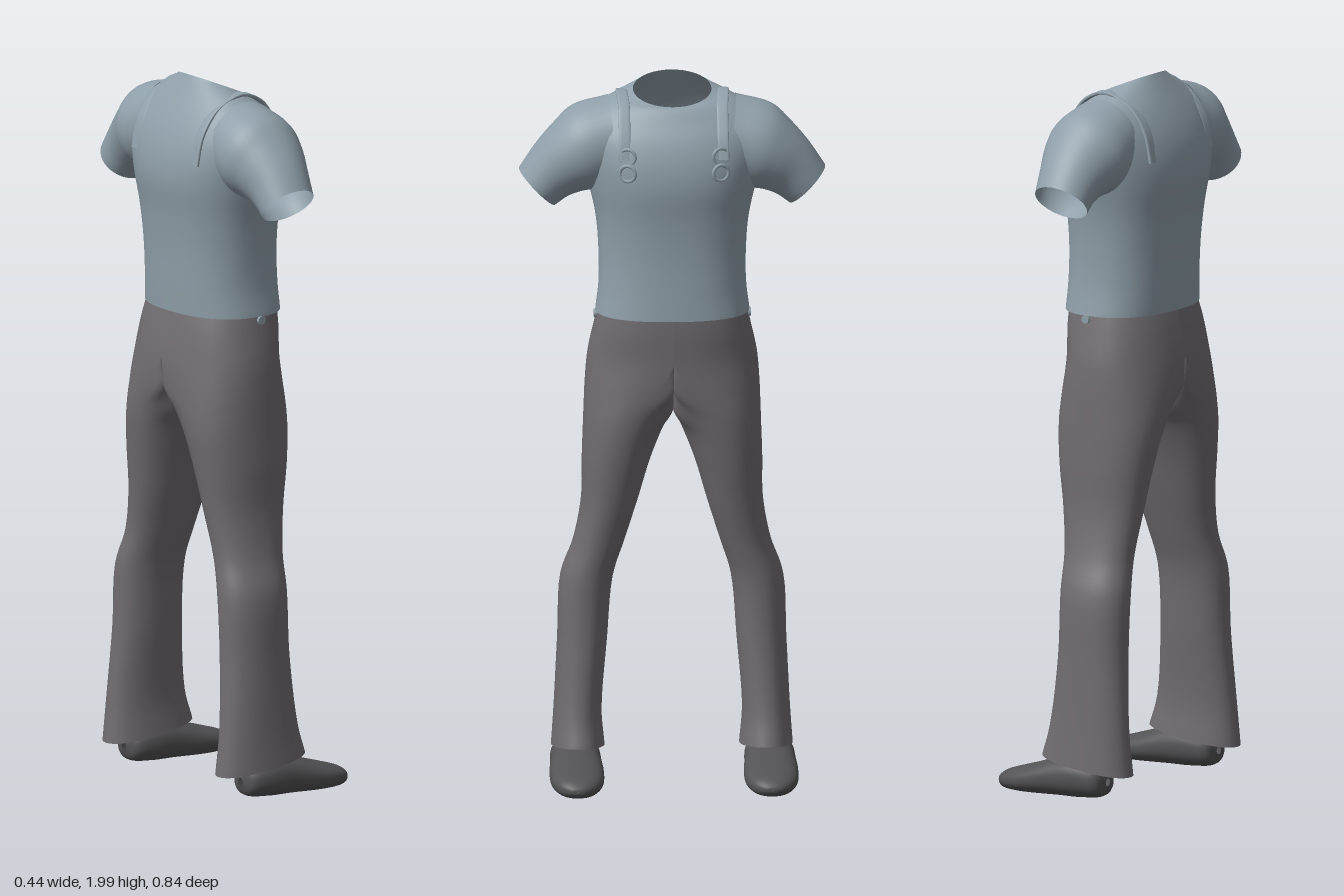
import * as THREE from 'three';

const SIDES = 40;
const V = (x, y, z) => new THREE.Vector3(x, y, z);

// Rounded ring around c with half axes u and v; n sets the squareness.
function ring(c, u, v, n = 2) {
  const pts = [];
  for (let i = 0; i < SIDES; i++) {
    const a = (i / SIDES) * Math.PI * 2;
    const p = (k) => (Math.abs(k) < 1e-9 ? 0 : Math.sign(k) * Math.abs(k) ** (2 / n));
    pts.push(c.clone().addScaledVector(u, p(Math.cos(a))).addScaledVector(v, p(Math.sin(a))));
  }
  return pts;
}

// Smooth skin through rings. side = -1 mirrors it in z; halved cuts it at z = 0.
function loft(rings, { side = 1, halved = false, steps = 5 } = {}) {
  const rows = (rings.length - 1) * steps;
  const columns = rings[0].map((_, i) => {
    const pts = rings.map((r) => (halved ? r[i].clone().setZ(Math.max(0, r[i].z)) : r[i]));
    return new THREE.CatmullRomCurve3(pts);
  });
  const pos = [], index = [];
  for (let t = 0; t <= rows; t++) {
    for (const col of columns) {
      const p = col.getPoint(t / rows);
      if (halved && p.z < 1e-4) p.z = 0;
      pos.push(p.x, p.y, p.z * side);
    }
  }
  for (let t = 0; t < rows; t++) {
    for (let i = 0; i < SIDES; i++) {
      const a = t * SIDES + i, b = t * SIDES + ((i + 1) % SIDES), c = a + SIDES, d = b + SIDES;
      if (halved && [a, b, c, d].every((k) => pos[k * 3 + 2] === 0)) continue;
      if (side > 0) index.push(a, c, b, b, c, d);
      else index.push(a, b, c, b, d, c);
    }
  }
  const g = new THREE.BufferGeometry();
  g.setAttribute('position', new THREE.Float32BufferAttribute(pos, 3));
  g.setIndex(index);
  g.computeVertexNormals();
  return g;
}

// Torso levels: y, back x, front x, half width, squareness, drop towards the front
const TORSO = [
  [1.345, -0.18, 0.122, 0.212, 2.4, 0],
  [1.42, -0.185, 0.118, 0.203, 2.4, 0],
  [1.52, -0.19, 0.115, 0.203, 2.4, 0],
  [1.62, -0.2, 0.12, 0.212, 2.4, 0],
  [1.72, -0.215, 0.132, 0.235, 2.3, 0],
  [1.79, -0.21, 0.125, 0.25, 2.3, 0],
  [1.85, -0.193, 0.105, 0.26, 2.2, 0],
  [1.9, -0.168, 0.078, 0.235, 2.1, 0.004],
  [1.945, -0.135, 0.055, 0.17, 2, 0.015],
  [1.968, -0.11, 0.043, 0.108, 2, 0.033],
];

// Trouser levels: y, back x, front x, inner z, outer z, squareness, front lift
const LEG = [
  [0.1, -0.2, 0.082, 0.185, 0.332, 2.2, 0.02],
  [0.2, -0.188, 0.058, 0.193, 0.325, 2.2, 0],
  [0.4, -0.174, 0.036, 0.178, 0.315, 2.2, 0],
  [0.58, -0.172, 0.035, 0.162, 0.306, 2.2, 0],
  [0.68, -0.162, 0.045, 0.132, 0.272, 2.2, 0],
  [0.8, -0.172, 0.068, 0.095, 0.25, 2.2, 0],
  [0.92, -0.188, 0.09, 0.06, 0.248, 2.2, 0],
  [1.01, -0.2, 0.102, 0.025, 0.245, 2.2, 0],
  [1.07, -0.204, 0.107, -0.02, 0.243, 2.2, 0],
  [1.14, -0.207, 0.11, -0.13, 0.24, 2.3, 0],
  [1.22, -0.205, 0.112, -0.233, 0.233, 2.3, 0],
  [1.3, -0.19, 0.114, -0.216, 0.216, 2.4, 0],
  [1.37, -0.172, 0.112, -0.2, 0.2, 2.4, 0],
];

// Sleeve rings from shoulder to cuff: z, y, half z, half y, x centre, x half
const SLEEVE = [
  [0.16, 1.832, 0.015, 0.115, -0.045, 0.115],
  [0.24, 1.803, 0.035, 0.115, -0.045, 0.122],
  [0.285, 1.777, 0.04, 0.095, -0.042, 0.108],
  [0.33, 1.739, 0.046, 0.072, -0.044, 0.09],
  [0.371, 1.691, 0.05, 0.051, -0.048, 0.08],
];

// Shoe rings from heel to toe: x, bottom, top, half width
const SHOE = [
  [-0.132, 0.05, 0.07, 0.01],
  [-0.12, 0.022, 0.1, 0.045],
  [-0.06, 0.012, 0.125, 0.066],
  [0.02, 0.01, 0.118, 0.071],
  [0.09, 0.008, 0.095, 0.075],
  [0.15, 0.008, 0.077, 0.07],
  [0.195, 0.012, 0.062, 0.05],
  [0.217, 0.025, 0.045, 0.02],
  [0.22, 0.033, 0.036, 0.003],
];

// Front (dir 1) or back (dir -1) point of the torso at height y and width z
function torsoPoint(y, z, dir) {
  let k = 0;
  while (k < TORSO.length - 2 && TORSO[k + 1][0] < y) k++;
  const f = (y - TORSO[k][0]) / (TORSO[k + 1][0] - TORSO[k][0]);
  const [, x0, x1, b, n] = TORSO[k].map((v, i) => THREE.MathUtils.lerp(v, TORSO[k + 1][i], f));
  const w = Math.max(0, 1 - (z / b) ** n) ** (1 / n);
  return V((x0 + x1) / 2 + (dir * w * (x1 - x0)) / 2, y, z);
}

export function createModel() {
  const model = new THREE.Group();
  const material = (name, color) =>
    new THREE.MeshStandardMaterial({ name, color, side: THREE.DoubleSide });
  const shirt = material('shirt blue grey', 0x8f9fa9);
  const cloth = material('trouser grey', 0x706c70);
  const leather = material('shoe dark grey', 0x535254);
  const add = (name, geometry, mat) => {
    const mesh = new THREE.Mesh(geometry, mat);
    mesh.name = name;
    model.add(mesh);
    return mesh;
  };

  // Shirt body with open neck and hem
  add('shirtBody', loft(TORSO.map(([y, x0, x1, b, n, drop]) =>
    ring(V((x0 + x1) / 2, y, 0), V((x1 - x0) / 2, -drop, 0), V(0, 0, b), n))), shirt);

  for (const side of [1, -1]) {
    const label = side > 0 ? 'left' : 'right';

    // Short sleeve
    add(label + 'Sleeve', loft(SLEEVE.map(([z, y, hz, hy, x, hx]) =>
      ring(V(x, y, z), V(hx, 0, 0), V(0, -hy, -hz))), { side }), shirt);

    // Trouser half, joined to its twin on the centre line
    add(label + 'TrouserLeg', loft(LEG.map(([y, x0, x1, z0, z1, n, lift]) =>
      ring(V((x0 + x1) / 2, y, (z0 + z1) / 2), V((x1 - x0) / 2, lift, 0), V(0, 0, (z1 - z0) / 2), n)),
    { side, halved: true }), cloth);

    // Shoe
    add(label + 'Shoe', loft(SHOE.map(([x, y0, y1, b]) =>
      ring(V(x, (y0 + y1) / 2, 0.267), V(0, 0, b), V(0, (y1 - y0) / 2, 0), 2.3)), { side }), leather);

    // Shoulder strap, a flat band over the shoulder
    const path = [
      ...[1.8, 1.85, 1.9, 1.935].map((y) => torsoPoint(y, 0.135, 1)),
      V(-0.04, 1.962, 0.14),
      ...[1.935, 1.9, 1.85, 1.78].map((y) => torsoPoint(y, 0.135, -1)),
    ];
    const curve = new THREE.CatmullRomCurve3(path);
    const bands = path.map((p, i) => {
      const t = curve.getTangent(i / (path.length - 1));
      const out = V(0, 0, 1).cross(t).normalize();
      return ring(p, V(0, 0, 0.016), out.multiplyScalar(0.005), 4);
    });
    add(label + 'Strap', loft(bands, { side, steps: 3 }), shirt);

    // Strap buckle: two small loops on the chest
    for (const y of [1.765, 1.81]) {
      const buckle = add(label + 'Buckle', new THREE.TorusGeometry(0.022, 0.005, 8, 20), shirt);
      buckle.position.copy(torsoPoint(y, 0.128, 1));
      buckle.position.z *= side;
      buckle.rotation.y = Math.PI / 2 - side * 0.35;
    }

    // Hip button
    const button = add(label + 'HipButton', new THREE.CylinderGeometry(0.012, 0.012, 0.008, 16), shirt);
    button.position.set(-0.02, 1.335, side * 0.212);
    button.rotation.x = Math.PI / 2;
  }
  return model;
}
